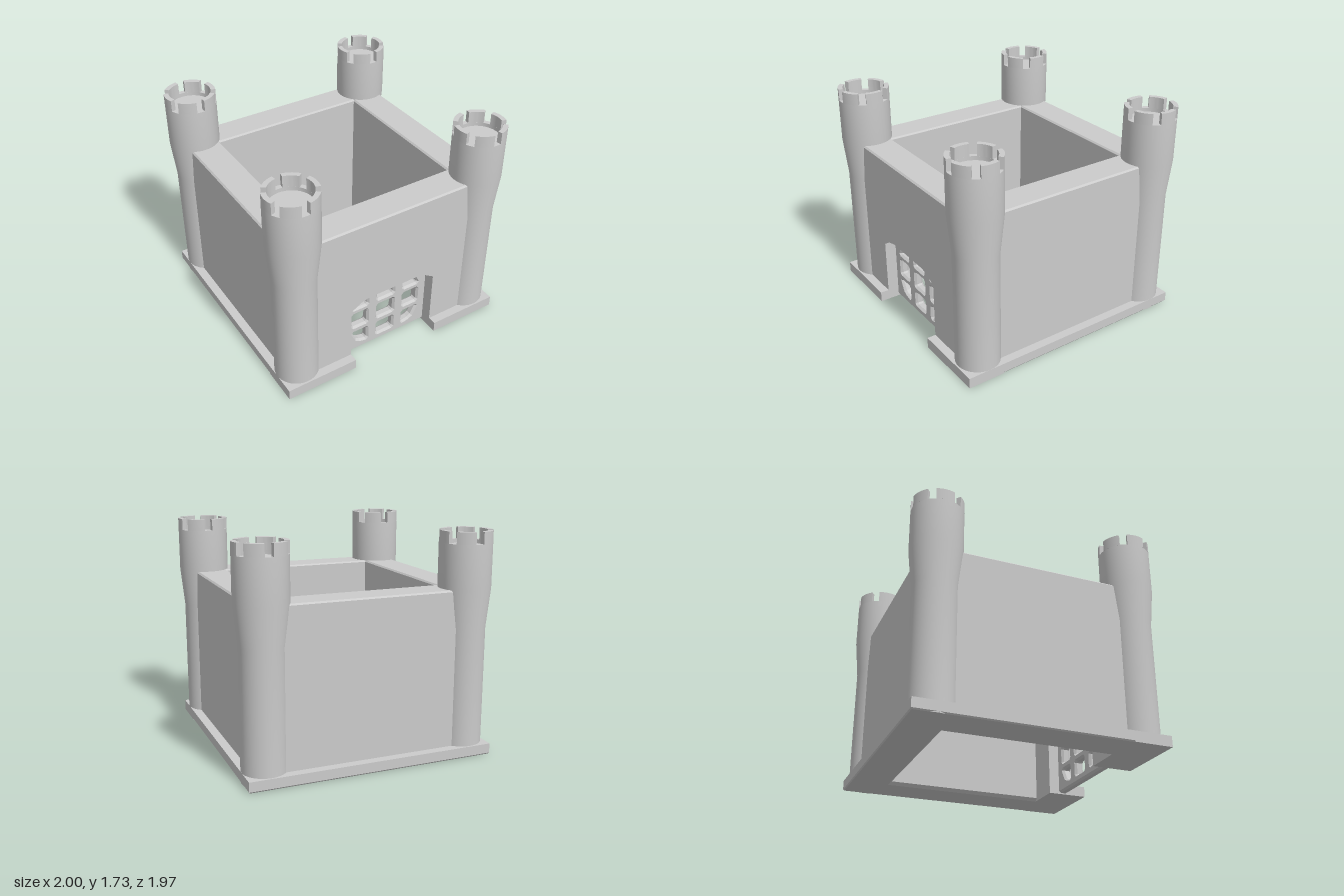
import * as THREE from 'three';
import { toCreasedNormals } from 'three/addons/utils/BufferGeometryUtils.js';

const grey = new THREE.MeshStandardMaterial({ color: 0xcccccc });
const flat = new THREE.MeshStandardMaterial({ color: 0xcccccc, flatShading: true });
const vec = (pts) => pts.map(([x, y]) => new THREE.Vector2(x, y));

function add(parent, name, geometry, material = grey) {
  const mesh = new THREE.Mesh(geometry, material);
  mesh.name = name;
  parent.add(mesh);
  return mesh;
}

// Square frame: a profile of [half width, y] swept round four mitred corners; sides 3 leaves the front open
function squareFrame(profile, sides = 4) {
  const pts = vec(profile.map(([r, y]) => [r * Math.SQRT2, y]));
  return new THREE.LatheGeometry(pts, sides, Math.PI / 4, sides * Math.PI / 2);
}

const OUT = 0.9, IN = 0.645, BASE = 0.97, BASE_H = 0.085, TOP = 1.3, SPLIT = 0.65;

// Doorway outline, low flattened arch
const doorway = (s, y0) => [
  [-0.38 * s, y0], [0.38 * s, y0], [0.38 * s, 0.53], [0.3, 0.58 * s], [0.22, 0.6 * s],
  [-0.22, 0.6 * s], [-0.3, 0.58 * s], [-0.38 * s, 0.53],
];

function buildWalls(group) {
  const c = 0.012;
  add(group, 'upperWalls', squareFrame([
    [OUT, SPLIT], [OUT, TOP - c], [OUT - c, TOP], [IN + c, TOP], [IN, TOP - c], [IN, SPLIT],
  ]), flat);
  add(group, 'lowerWalls', squareFrame([
    [IN + 0.025, 0], [OUT, 0], [OUT, SPLIT], [IN, SPLIT], [IN, 0.025], [IN + 0.025, 0],
  ], 3), flat);

  // Front wall with the doorway cut up from the ground
  const d = doorway(1, 0);
  const outline = [[-OUT, 0], d[0], d[7], d[6], d[5], d[4], d[3], d[2], d[1], [OUT, 0], [OUT, SPLIT], [-OUT, SPLIT]];
  const geo = new THREE.ExtrudeGeometry(new THREE.Shape(vec(outline)), { depth: OUT - IN, bevelEnabled: false });
  add(group, 'frontWall', geo, flat).position.z = IN;
}

function buildBase(group) {
  add(group, 'basePlate', squareFrame([
    [IN + 0.025, 0], [BASE - 0.008, 0], [BASE, 0.01], [BASE, BASE_H], [IN + 0.025, BASE_H], [IN + 0.025, 0],
  ], 3), flat);
  // Two front strips, open in front of the gate
  for (const s of [-1, 1]) {
    const strip = add(group, 'frontBaseStrip', new THREE.BoxGeometry(BASE - 0.38, BASE_H, BASE - IN - 0.02));
    strip.position.set(s * (BASE + 0.38) / 2, BASE_H / 2, (BASE + IN + 0.02) / 2);
  }
}

function buildGate(group) {
  const shape = new THREE.Shape(vec(doorway(1, 0.025)));
  const cols = [[-0.32, -0.155], [-0.09, 0.09], [0.155, 0.32]];
  const rows = [[0.06, 0.205], [0.235, 0.395], [0.42, 0.565]];
  cols.forEach(([x0, x1], i) => rows.forEach(([y0, y1], j) => {
    const k = 0.02;
    let pts = [
      [x0 + k, y0], [x1 - k, y0], [x1, y0 + k], [x1, y1 - k],
      [x1 - k, y1], [x0 + k, y1], [x0, y1 - k], [x0, y0 + k],
    ];
    // Corner openings have their outer corner cut away
    if (i !== 1 && j !== 1) {
      const xo = i ? x1 : x0, xi = i ? x0 : x1, sx = i ? 1 : -1;
      const yo = j ? y1 : y0, yi = j ? y0 : y1, sy = j ? 1 : -1;
      pts = [
        [xi, yi + sy * k], [xi + sx * k, yi], [xo - sx * k, yi], [xo, yi + sy * k],
        [xo - sx * 0.045, yo - sy * 0.035], [xo - sx * 0.08, yo - sy * 0.015],
        [xi + sx * k, yo], [xi, yo - sy * k],
      ];
    }
    shape.holes.push(new THREE.Path(vec(pts)));
  }));
  const geo = new THREE.ExtrudeGeometry(shape, {
    depth: 0.04, bevelEnabled: true, bevelThickness: 0.018, bevelSize: 0.015, bevelSegments: 1,
  });
  add(group, 'gate', geo, flat).position.z = 0.75;
}

// Corner tower: flared shaft, sunken roof and six merlons
function buildTower() {
  const tower = new THREE.Group();
  tower.name = 'tower';
  const rim = 1.64, top = 1.73, R = 0.2, r = 0.162;
  const profile = vec([[0, 0], [0.17, 0], [0.17, 1], [R, TOP], [R, rim], [r, rim], [r, 1.61], [0, 1.61]]);
  add(tower, 'towerShaft', toCreasedNormals(new THREE.LatheGeometry(profile, 48), 0.6));

  const half = Math.PI / 6 - 0.16;
  const arc = new THREE.Shape();
  arc.absarc(0, 0, R, -half, half, false);
  arc.absarc(0, 0, r, half, -half, true);
  arc.closePath();
  const merlon = toCreasedNormals(
    new THREE.ExtrudeGeometry(arc, { depth: top - rim, bevelEnabled: false, curveSegments: 6 }), 0.6);
  merlon.rotateX(-Math.PI / 2);
  for (let i = 0; i < 6; i++) {
    const m = add(tower, 'merlon', merlon);
    m.position.y = rim;
    m.rotation.y = i * Math.PI / 3;
  }
  return tower;
}

export function createModel() {
  const model = new THREE.Group();
  model.name = 'castle';
  buildBase(model);
  buildWalls(model);
  buildGate(model);
  for (const x of [-0.8, 0.8]) for (const z of [-0.787, 0.787]) {
    const tower = buildTower();
    tower.position.set(x, 0, z);
    model.add(tower);
  }
  return model;
}
